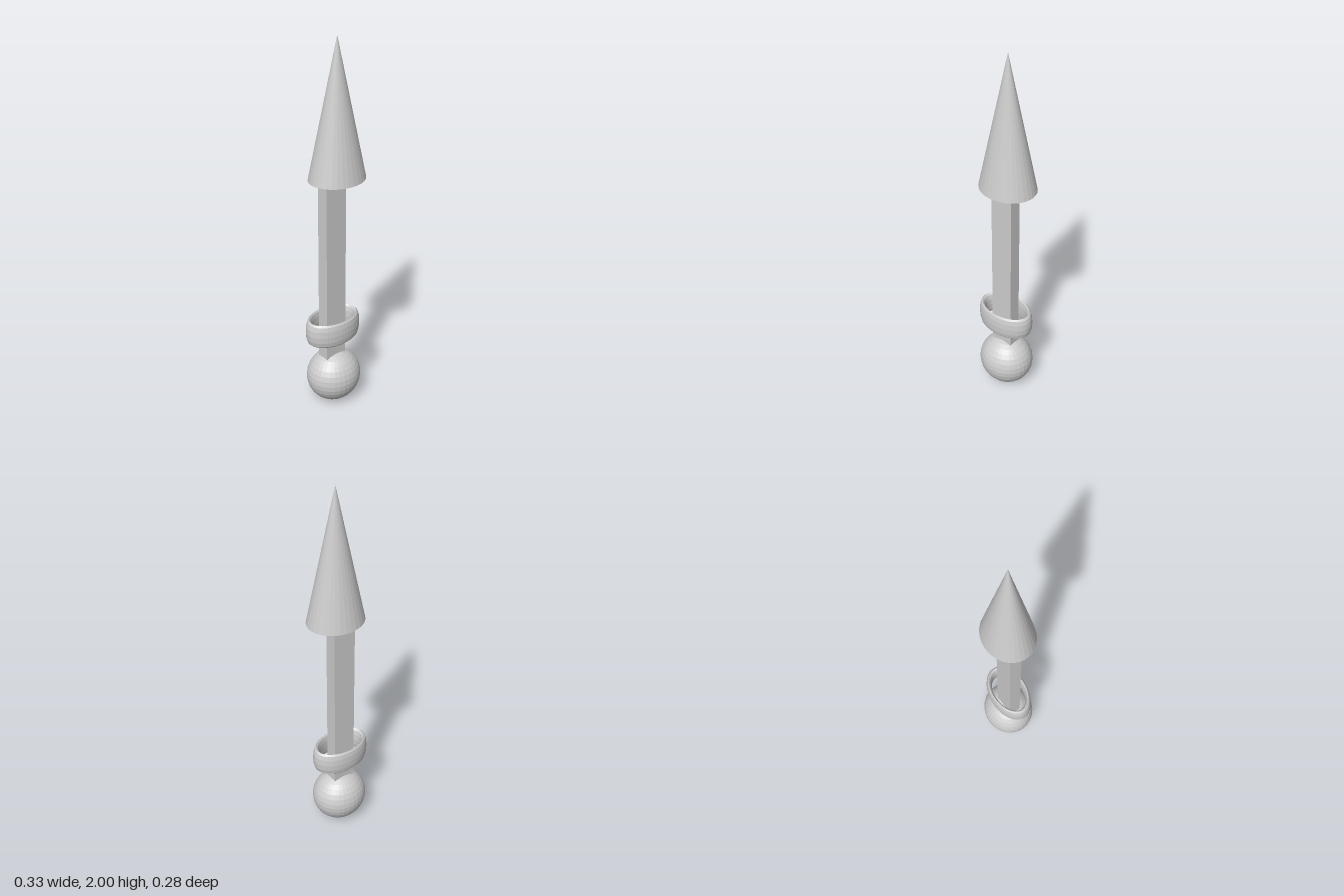
import * as THREE from 'three';

export function createModel() {
  const model = new THREE.Group();
  const grey = new THREE.MeshStandardMaterial({ color: 0xcccccc });
  grey.name = 'plain grey';

  // Adds a faceted part, scaled and placed in one go
  function add(name, geometry, [sx, sy, sz], [x, y, z]) {
    geometry.scale(sx, sy, sz);
    const faceted = geometry.toNonIndexed();
    faceted.computeVertexNormals();
    const mesh = new THREE.Mesh(faceted, grey);
    mesh.name = name;
    mesh.position.set(x, y, z);
    model.add(mesh);
  }

  // Pointed blade with a closed base
  add('tip', new THREE.ConeGeometry(1, 0.71, 32), [0.152, 1, 0.131], [0.015, 1.645, 0.007]);

  // Flat rectangular shaft, from inside the pommel to the tip
  add('shaft', new THREE.BoxGeometry(0.124, 1.1, 0.068), [1, 1, 1], [-0.008, 0.745, -0.003]);

  // Loose oval guard ring, tall in section
  const ring = new THREE.TorusGeometry(1, 0.14, 12, 48).rotateX(Math.PI / 2);
  add('guardRing', ring, [0.142, 0.067 / 0.14, 0.091], [-0.005, 0.447, -0.002]);

  // Slightly squashed ball pommel
  add('pommel', new THREE.SphereGeometry(1, 32, 16), [0.15, 0.146, 0.138], [0, 0.146, -0.001]);

  return model;
}
